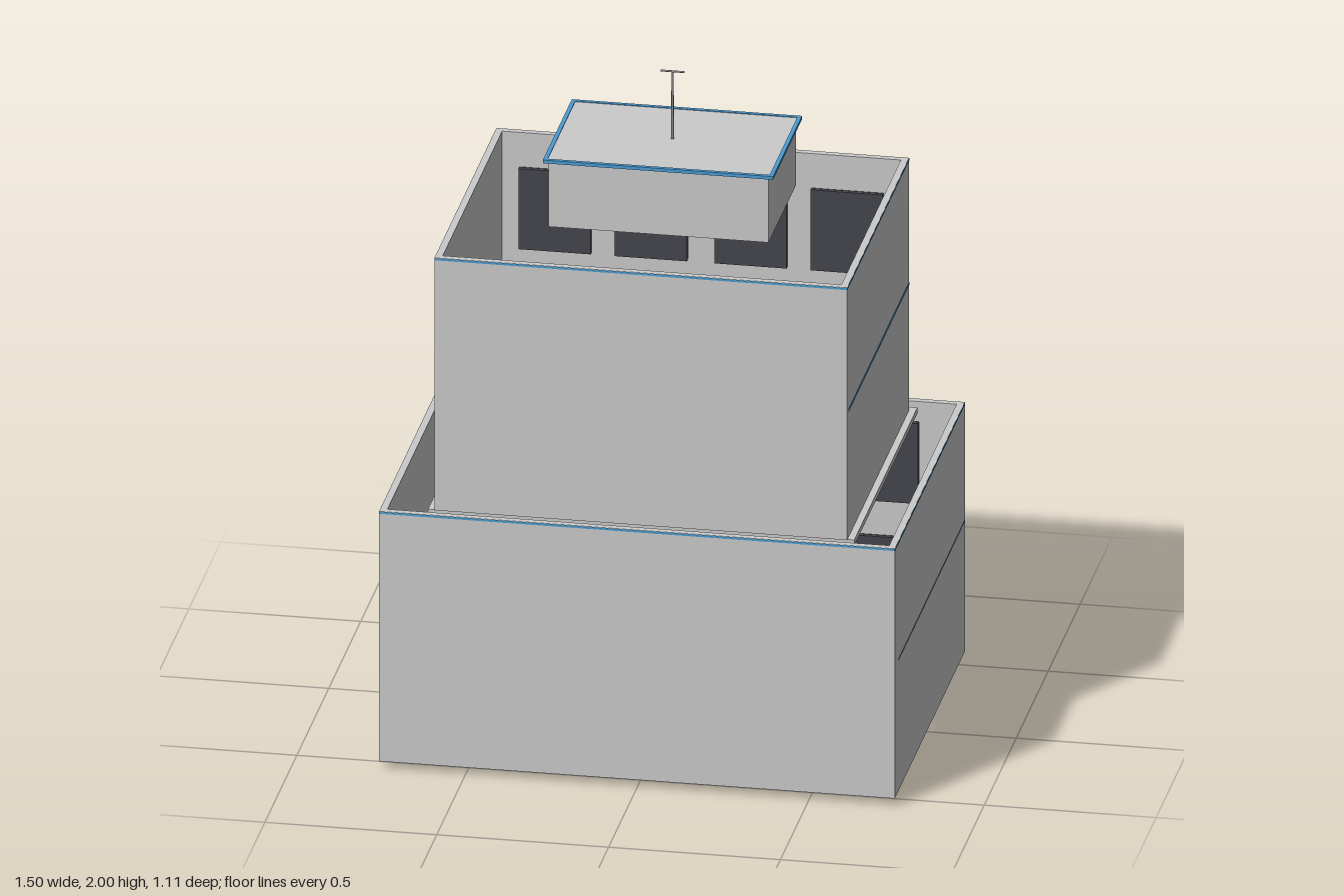
import * as THREE from 'three';

const mat = (color) => new THREE.MeshStandardMaterial({ color, side: THREE.DoubleSide });
const wallMat = mat(0xcccccc), trimMat = mat(0x8c8c8c), darkMat = mat(0x45454d);
const blueMat = mat(0x4b9cd3), paneMat = mat(0xb4c6ce), glassMat = mat(0x9cc0cc);

// Box given by its lower and upper limits on each axis
function box(parent, name, material, x0, x1, y0, y1, z0, z1) {
  const mesh = new THREE.Mesh(new THREE.BoxGeometry(x1 - x0, y1 - y0, z1 - z0), material);
  mesh.position.set((x0 + x1) / 2, (y0 + y1) / 2, (z0 + z1) / 2);
  mesh.name = name;
  parent.add(mesh);
  return mesh;
}

function rect(Type, x0, x1, y0, y1) {
  const p = new Type();
  p.moveTo(x0, y0);
  p.lineTo(x1, y0);
  p.lineTo(x1, y1);
  p.lineTo(x0, y1);
  p.closePath();
  return p;
}

// Upright plate pierced by rectangular holes [x0, x1, y0, y1]
function plate(parent, name, material, outline, holes, z0, z1) {
  const shape = rect(THREE.Shape, ...outline);
  holes.forEach((h) => shape.holes.push(rect(THREE.Path, ...h)));
  const geo = new THREE.ExtrudeGeometry(shape, { depth: z1 - z0, bevelEnabled: false });
  const mesh = new THREE.Mesh(geo, material);
  mesh.position.z = z0;
  mesh.name = name;
  parent.add(mesh);
  return mesh;
}

const inset = ([x0, x1, y0, y1], d) => [x0 + d, x1 - d, y0 + d, y1 - d];

// Window: raised surround, dark sash and a pane just inside the wall
function addWindow(parent, r, zWall) {
  const g = new THREE.Group();
  g.name = 'window';
  const open = inset(r, 0.02);
  plate(g, 'windowSurround', trimMat, r, [open], zWall - 0.017, zWall);
  plate(g, 'windowSash', darkMat, open, [inset(open, 0.015)], zWall - 0.008, zWall + 0.008);
  box(g, 'windowPane', paneMat, ...inset(open, 0.012), zWall + 0.018, zWall + 0.021);
  box(g, 'windowBacking', darkMat, ...open, zWall + 0.021, zWall + 0.034);
  parent.add(g);
}

// Open-topped storey block whose rear wall carries the openings
function addStorey(parent, name, hx, y0, y1, zBack, zFront, holes) {
  const t = 0.02, g = new THREE.Group();
  g.name = name;
  box(g, 'frontWall', wallMat, -hx, hx, y0, y1, zFront - t, zFront);
  for (const s of [-1, 1]) {
    const xa = s * hx, xb = s * (hx - t);
    box(g, 'sideWall', wallMat, Math.min(xa, xb), Math.max(xa, xb), y0, y1, zBack + t, zFront - t);
  }
  plate(g, 'facadeWall', wallMat, [-hx, hx, y0, y1], holes, zBack, zBack + t);
  // blue edging just below the parapet top
  const e = 0.001, a = y1 - 0.007, b = y1 - 0.001;
  box(g, 'parapetEdge', blueMat, -hx, hx, a, b, zFront, zFront + e);
  box(g, 'parapetEdge', blueMat, -hx, hx, a, b, zBack - e, zBack);
  for (const s of [-1, 1])
    box(g, 'parapetEdge', blueMat, s * hx - e, s * hx + e, a, b, zBack, zFront);
  parent.add(g);
  return g;
}

// Thin floor line on the sides and on the facade, leaving out |x| < gap
function addFloorLine(parent, hx, y, h, zBack, zFront, gap) {
  for (const s of [-1, 1]) {
    box(parent, 'floorLine', blueMat, s * hx - 0.001, s * hx + 0.001, y - h, y + h, zBack, zFront);
    const xs = [s * gap, s * hx].sort((p, q) => p - q);
    box(parent, 'floorLine', blueMat, xs[0], xs[1], y - h, y + h, zBack - 0.001, zBack);
  }
}

export function createModel() {
  const model = new THREE.Group();
  model.name = 'officeBuilding';

  // Window layout
  const grid = (xs, ys) => xs.flatMap((x) => ys.map((y) => [x - 0.125, x + 0.125, y, y + 0.29]));
  const lowWins = grid([-0.515, 0.515], [0.11, 0.47]);
  const highWins = grid([-0.425, -0.145, 0.145, 0.425], [0.83, 1.2]);
  const openings = (wins) => wins.map((w) => inset(w, 0.02));
  const entry = [-0.345, 0.345, 0.035, 0.795];

  // Lower storeys
  const low = addStorey(model, 'lowerStoreys', 0.75, 0.027, 0.803, -0.54, 0.555,
    [...openings(lowWins), entry]);
  lowWins.forEach((w) => addWindow(low, w, -0.54));
  addFloorLine(low, 0.75, 0.435, 0.002, -0.54, 0.5, 0.365);

  // Glazed entrance with its portal, mullions and doors
  const entrance = new THREE.Group();
  entrance.name = 'entrance';
  plate(entrance, 'portal', trimMat, [-0.365, 0.365, 0.003, 0.82], [[-0.34, 0.34, 0.02, 0.795]], -0.558, -0.535);
  box(entrance, 'entranceGlass', glassMat, -0.345, 0.345, 0.05, 0.8, -0.528, -0.522);
  for (const y of [0.4, 0.545])
    box(entrance, 'mullion', darkMat, -0.345, 0.345, y - 0.007, y + 0.007, -0.536, -0.515);
  box(entrance, 'doorHead', darkMat, -0.115, 0.115, 0.33, 0.342, -0.536, -0.522);
  for (const x of [-0.11, 0.11])
    box(entrance, 'doorJamb', darkMat, x - 0.005, x + 0.005, 0.05, 0.335, -0.536, -0.522);
  box(entrance, 'entranceHead', trimMat, -0.345, 0.345, 0.79, 0.802, -0.535, -0.51);
  model.add(entrance);

  // Upper storeys on their floor slab
  box(model, 'upperFloorSlab', wallMat, -0.62, 0.62, 0.775, 0.793, -0.498, 0.49);
  const high = addStorey(model, 'upperStoreys', 0.6, 0.793, 1.577, -0.475, 0.495, openings(highWins));
  highWins.forEach((w) => addWindow(high, w, -0.475));
  addFloorLine(high, 0.6, 1.187, 0.004, -0.475, 0.475, 0);
  box(high, 'plaque', wallMat, -0.06, 0.06, 1.46, 1.55, -0.487, -0.475);

  // Rooftop plant room with louvres and blue-edged roof
  const plant = new THREE.Group();
  plant.name = 'plantRoom';
  box(plant, 'plantRoomWalls', wallMat, -0.32, 0.32, 1.58, 1.782, -0.212, 0.217);
  box(plant, 'plantRoomRoof', wallMat, -0.323, 0.323, 1.782, 1.788, -0.215, 0.215);
  const edge = plate(plant, 'roofEdge', blueMat, [-0.335, 0.335, -0.227, 0.227],
    [[-0.323, 0.323, -0.215, 0.215]], 0, 0.01);
  edge.rotation.x = -Math.PI / 2;
  edge.position.y = 1.78;
  for (const y of [1.62, 1.685, 1.75])
    box(plant, 'louvre', darkMat, -0.22, 0.22, y - 0.004, y + 0.004, -0.218, -0.212);
  model.add(plant);

  // Antenna
  const antenna = new THREE.Group();
  antenna.name = 'antenna';
  const mast = new THREE.Mesh(new THREE.CylinderGeometry(0.003, 0.005, 0.212, 8), trimMat);
  mast.name = 'mast';
  mast.position.y = 1.892;
  const bar = new THREE.Mesh(new THREE.CylinderGeometry(0.003, 0.003, 0.07, 8), trimMat);
  bar.name = 'crossbar';
  bar.rotation.z = Math.PI / 2;
  bar.position.y = 1.997;
  antenna.add(mast, bar);
  model.add(antenna);

  return model;
}
